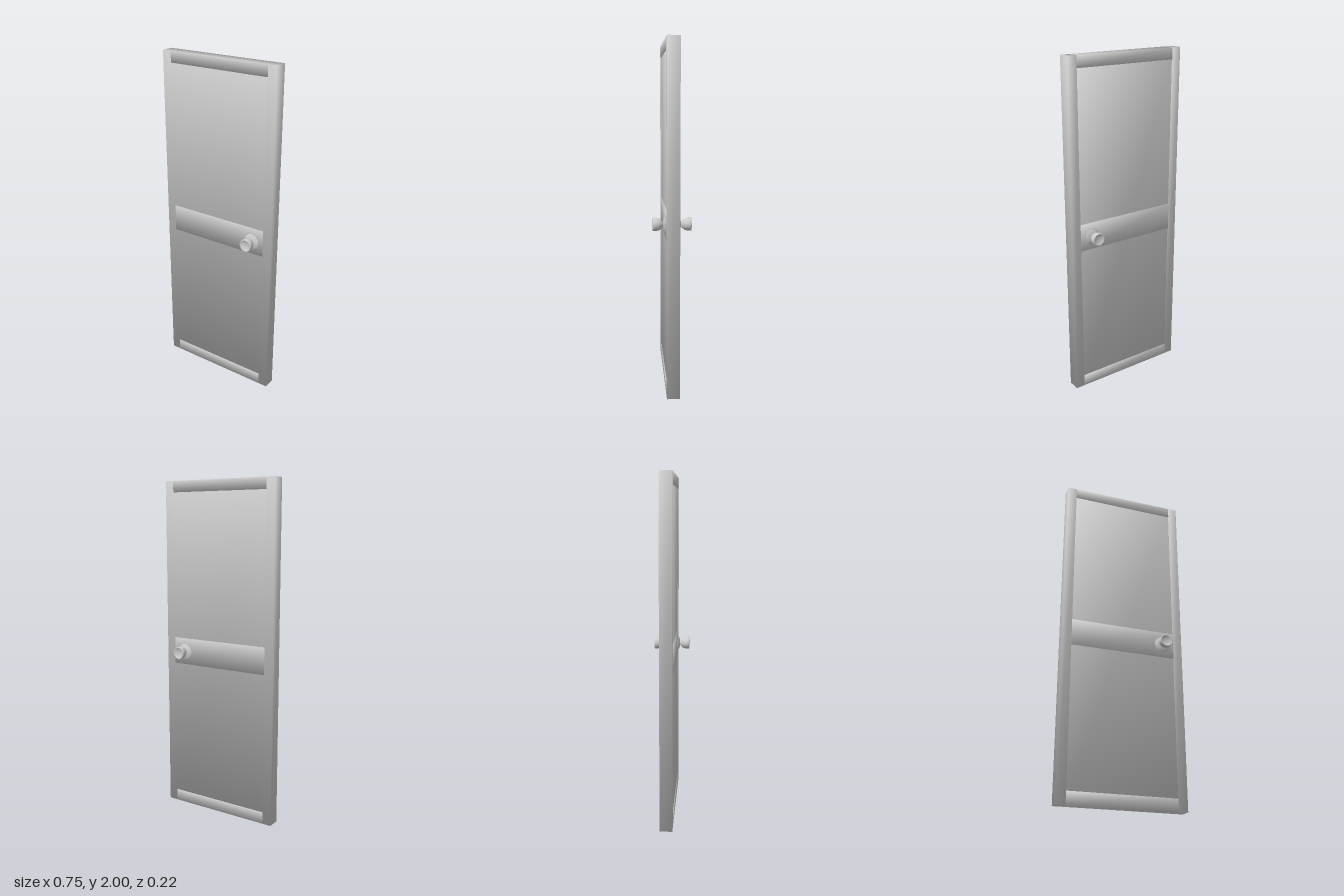
import * as THREE from 'three';

export function createModel() {
  const model = new THREE.Group();
  model.name = 'door';
  const grey = new THREE.MeshStandardMaterial({ color: 0xcccccc, side: THREE.DoubleSide });
  grey.name = 'plain grey';

  // The slab hangs very slightly turned about the vertical
  const slab = new THREE.Group();
  slab.name = 'slab';
  slab.position.z = -0.004;
  slab.rotation.y = -0.0075;
  model.add(slab);

  // Box whose corner normals are averaged, for soft shading across its faces
  function softBar(name, x0, x1, y0, y1, depth) {
    const geo = new THREE.BoxGeometry(x1 - x0, y1 - y0, depth);
    const pos = geo.attributes.position;
    const n = new THREE.Vector3();
    for (let i = 0; i < pos.count; i++) {
      n.set(Math.sign(pos.getX(i)), Math.sign(pos.getY(i)), Math.sign(pos.getZ(i))).normalize();
      geo.attributes.normal.setXYZ(i, n.x, n.y, n.z);
    }
    const mesh = new THREE.Mesh(geo, grey);
    mesh.name = name;
    mesh.position.set((x0 + x1) / 2, (y0 + y1) / 2, 0);
    slab.add(mesh);
  }

  // Uprights, cross rails and the shallowly recessed panel
  softBar('leftStile', 0.318, 0.373, 0, 2, 0.073);
  softBar('rightStile', -0.373, -0.318, 0, 2, 0.073);
  softBar('bottomRail', -0.318, 0.318, 0, 0.07, 0.073);
  softBar('middleRail', -0.318, 0.318, 0.905, 1.065, 0.073);
  softBar('topRail', -0.318, 0.318, 1.935, 2, 0.073);
  softBar('panel', -0.318, 0.318, 0.04, 1.96, 0.065);

  // Knob profiles: radius, distance out from the middle of the door
  const rosette = [[0.012, 0.034], [0.048, 0.037], [0.047, 0.039], [0.036, 0.044], [0.024, 0.048], [0.011, 0.049]];
  const knob = [
    [0.011, 0.047], [0.011, 0.05], [0.019, 0.055], [0.028, 0.063], [0.034, 0.073], [0.037, 0.086],
    [0.038, 0.098], [0.037, 0.108], [0.032, 0.108], [0.026, 0.103], [0.014, 0.1], [0, 0.099],
  ];

  function addLathe(group, name, points) {
    const profile = points.map(([r, d]) => new THREE.Vector2(r, d));
    const mesh = new THREE.Mesh(new THREE.LatheGeometry(profile, 32), grey);
    mesh.name = name;
    group.add(mesh);
  }

  // One handle on each side
  for (const [name, side, x, z] of [['frontHandle', 1, 0.245, 0], ['backHandle', -1, 0.241, -0.002]]) {
    const handle = new THREE.Group();
    handle.name = name;
    addLathe(handle, 'rosette', rosette);
    addLathe(handle, 'knob', knob);
    handle.rotation.x = side * Math.PI / 2;
    handle.position.set(x, 0.983, z);
    model.add(handle);
  }
  return model;
}
